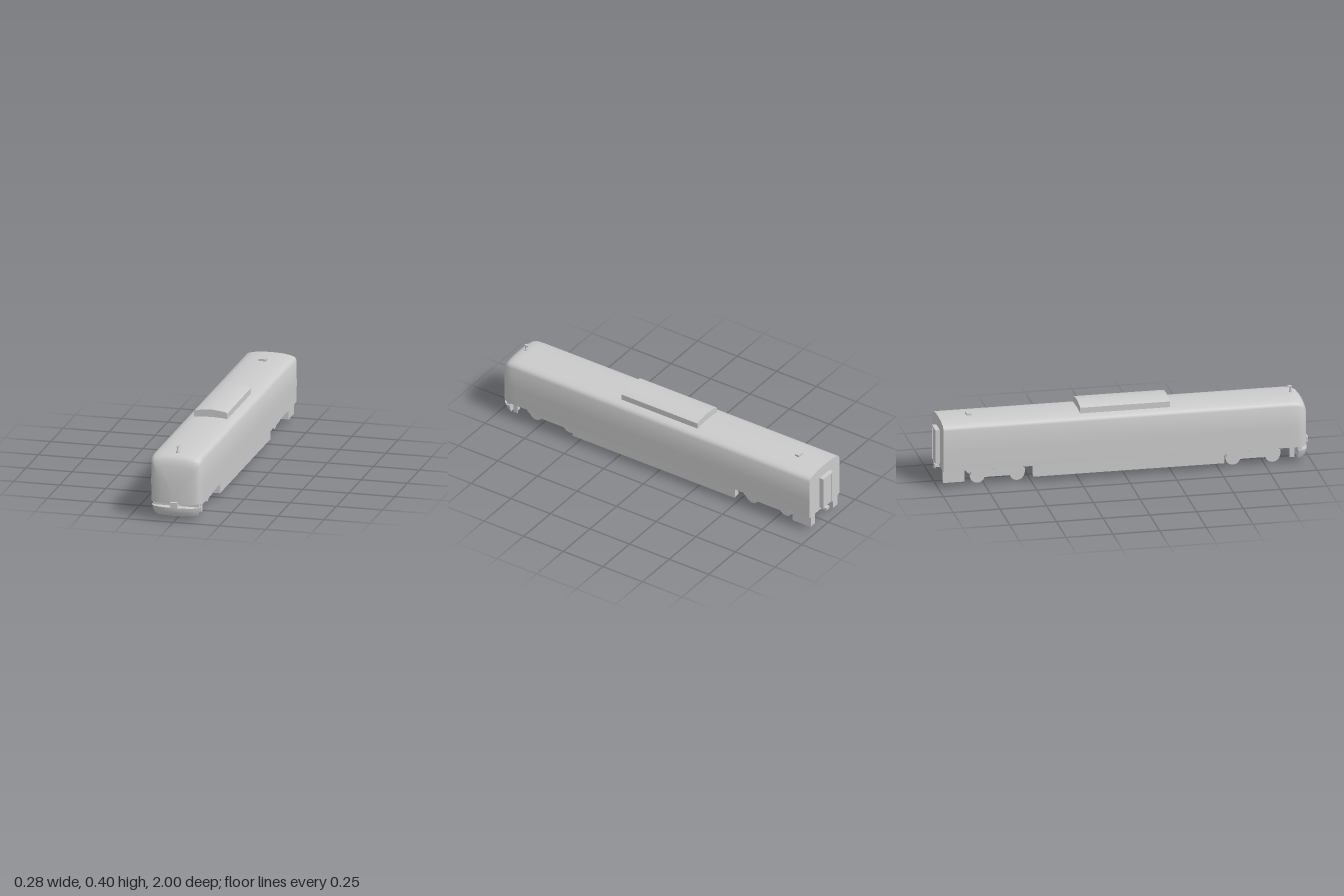
import * as THREE from 'three';
import { toCreasedNormals } from 'three/addons/utils/BufferGeometryUtils.js';

const grey = new THREE.MeshStandardMaterial({ color: 0xcccccc });
const thin = new THREE.MeshStandardMaterial({ color: 0xcccccc, side: THREE.DoubleSide });

// Closed skin through rings of [x, y, z] points, capped at both ends.
// Rings run counter-clockwise when seen from the end they are stacked towards.
function loft(rings, crease = 0.6) {
  const n = rings[0].length, last = rings.length - 1, index = [];
  for (let i = 0; i < last; i++) {
    for (let j = 0; j < n; j++) {
      const k = (j + 1) % n;
      const a = i * n + j, b = i * n + k, c = b + n, d = a + n;
      index.push(a, b, c, a, c, d);
    }
  }
  for (let j = 1; j < n - 1; j++) {
    index.push(0, j + 1, j);
    index.push(last * n, last * n + j, last * n + j + 1);
  }
  const g = new THREE.BufferGeometry();
  g.setAttribute('position', new THREE.Float32BufferAttribute(rings.flat(2), 3));
  g.setIndex(index);
  return toCreasedNormals(g.toNonIndexed(), crease);
}

// Right half of a section, given bottom to top, mirrored into a full outline.
const mirrored = (half) => [
  ...half,
  ...half.filter(([x]) => x > 0).reverse().map(([x, y]) => [-x, y]),
];

export function createModel() {
  const model = new THREE.Group();

  const add = (name, geometry, material = grey, parent = model) => {
    const mesh = new THREE.Mesh(geometry, material);
    mesh.name = name;
    parent.add(mesh);
    return mesh;
  };
  // Box given by its limits on each axis
  const box = (name, x0, x1, y0, y1, z0, z1, parent = model) => {
    const g = new THREE.BoxGeometry(Math.abs(x1 - x0), y1 - y0, z1 - z0);
    g.translate((x0 + x1) / 2, (y0 + y1) / 2, (z0 + z1) / 2);
    return add(name, g, grey, parent);
  };

  // Car body: constant section with a rounded nose shrinking onto its base
  const floorY = 0.095;
  const section = mirrored([
    [0.139, floorY], [0.14, 0.2], [0.139, 0.322], [0.133, 0.335], [0.123, 0.343],
    [0.1, 0.349], [0.07, 0.354], [0.035, 0.356], [0, 0.357],
  ]);
  const nose = [ // z, width scale, height scale
    [-0.976, 1, 1], [0.88, 1, 1], [0.915, 0.995, 0.993], [0.935, 0.98, 0.975],
    [0.95, 0.945, 0.945], [0.962, 0.88, 0.89], [0.971, 0.75, 0.78],
    [0.978, 0.5, 0.6], [0.982, 0.25, 0.4], [0.984, 0.03, 0.1],
  ];
  add('body', loft(nose.map(([z, sx, sy]) =>
    section.map(([x, y]) => [x * sx, floorY + (y - floorY) * sy, z]))));

  // Raised roof housing
  const housing = mirrored([[0.09, 0.34], [0.09, 0.382], [0.076, 0.389], [0.04, 0.394], [0, 0.398]]);
  add('roofHousing', loft([-0.235, 0.245].map((z) => housing.map(([x, y]) => [x, y, z])), 0.4));

  // Roof horn near the nose and small vent near the back
  const horn = new THREE.Group();
  horn.name = 'horn';
  model.add(horn);
  add('hornBase', new THREE.CylinderGeometry(0.008, 0.009, 0.012, 12), grey, horn).position.set(0, 0.358, 0.91);
  add('hornPost', new THREE.CylinderGeometry(0.005, 0.005, 0.03, 12), grey, horn).position.set(0, 0.375, 0.91);
  box('hornArm', -0.006, 0.006, 0.384, 0.391, 0.892, 0.916, horn);
  box('roofVent', -0.02, 0.02, 0.352, 0.368, -0.828, -0.802);

  // Gangway door on the back wall
  box('gangway', -0.045, 0.045, 0.11, 0.297, -0.995, -0.974);
  for (const s of [-1, 1]) box('gangwayPost', s * 0.036, s * 0.046, 0.11, 0.297, -1, -0.974);
  box('gangwayHeader', -0.046, 0.046, 0.288, 0.297, -1, -0.974);

  // Couplers
  box('frontCoupler', -0.019, 0.019, 0.077, 0.106, 0.93, 1);
  box('rearCoupler', -0.014, 0.014, 0.08, 0.095, -0.998, -0.92);

  // Curved plough under the nose, tapering towards its bottom
  const ploughRing = (y, halfWidth, front) => {
    const ring = [];
    for (let i = 0; i <= 16; i++) {
      const u = i / 8 - 1;
      ring.push([u * halfWidth, y, front - 0.022 * u * u - 0.024 * u ** 10]);
    }
    ring.push([halfWidth, y, 0.925], [-halfWidth, y, 0.925]);
    return ring;
  };
  add('plough', loft([
    ploughRing(0.027, 0.116, 0.974), ploughRing(0.045, 0.124, 0.983),
    ploughRing(0.06, 0.128, 0.987), ploughRing(0.074, 0.132, 0.988),
  ]));
  box('ploughMount', -0.124, 0.124, 0.07, 0.096, 0.925, 0.945);

  // Side skirts with inward ribs
  const skirts = [ // z0, z1, bottom, rib positions
    [-0.495, 0.53, 0.03, [-0.49, -0.29, -0.08, 0.12, 0.32, 0.525]],
    [-0.975, -0.86, 0.03, [-0.972, -0.863]],
    [0.878, 0.905, 0.038, [0.89]],
  ];
  for (const s of [-1, 1]) {
    for (const [z0, z1, bottom, ribs] of skirts) {
      box('skirt', s * 0.123, s * 0.126, bottom, 0.096, z0, z1);
      for (const z of ribs) {
        const rib = new THREE.PlaneGeometry(0.04, 0.096 - bottom);
        add('skirtRib', rib, thin).position.set(s * 0.104, (bottom + 0.096) / 2, z);
      }
    }
  }

  // Bogies: side frames, dampers and four wheels each
  const frame = new THREE.Shape([
    [-0.145, 0.05], [-0.125, 0.036], [0.125, 0.036], [0.145, 0.05],
    [0.145, 0.07], [0.125, 0.08], [-0.125, 0.08], [-0.145, 0.07],
  ].map(([x, y]) => new THREE.Vector2(x, y)));
  const frameGeometry = new THREE.ExtrudeGeometry(frame, { depth: 0.008, bevelEnabled: false });
  frameGeometry.translate(0, 0, -0.004).rotateY(Math.PI / 2);
  const wheelGeometry = new THREE.CylinderGeometry(0.04, 0.04, 0.012, 28).rotateZ(Math.PI / 2);

  for (const [name, z] of [['frontBogie', 0.692], ['rearBogie', -0.675]]) {
    const bogie = new THREE.Group();
    bogie.name = name;
    bogie.position.z = z;
    model.add(bogie);
    for (const s of [-1, 1]) {
      add('sideFrame', frameGeometry, grey, bogie).position.x = s * 0.09;
      box('damper', s * 0.086, s * 0.108, 0.074, 0.096, -0.025, 0.025, bogie);
      for (const w of [-0.106, 0.106]) {
        add('wheel', wheelGeometry, grey, bogie).position.set(s * 0.068, 0.04, w);
      }
    }
  }

  return model;
}
